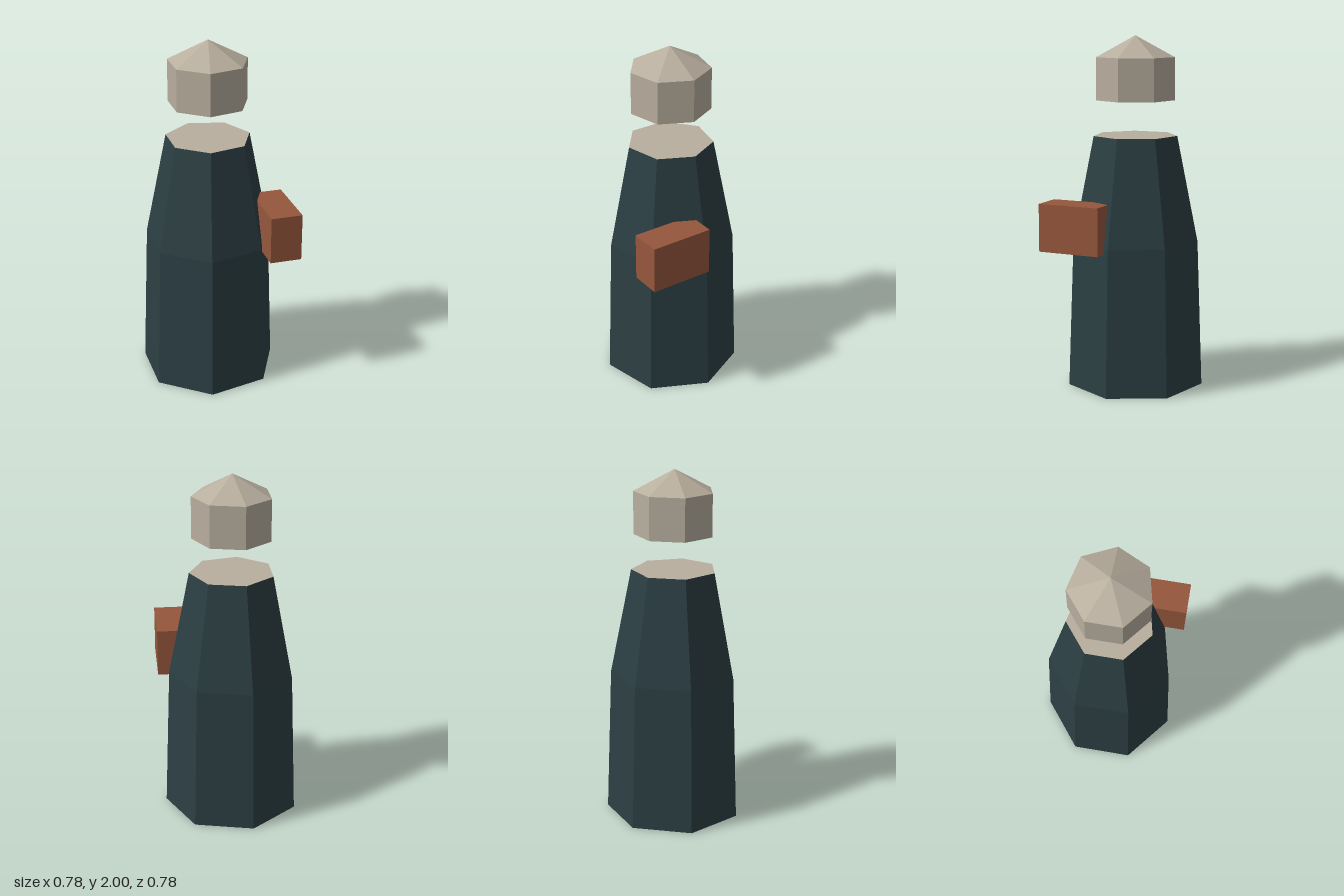
import * as THREE from 'three';

const SIDES = 7;
const material = (color, side = THREE.FrontSide) =>
  new THREE.MeshStandardMaterial({ color, side, flatShading: true });

// Seven-sided turned shape with one corner pointing to +x; profile is [radius, height] from the bottom up
function turned(name, profile, mat) {
  const points = profile.map(([r, y]) => new THREE.Vector2(r, y));
  const mesh = new THREE.Mesh(new THREE.LatheGeometry(points, SIDES, Math.PI / 2), mat);
  mesh.name = name;
  return mesh;
}

export function createModel() {
  const model = new THREE.Group();
  model.name = 'robedFigure';

  const figure = new THREE.Group();
  figure.name = 'figure';
  figure.position.set(-0.036, 0, -0.006);
  model.add(figure);

  const cloth = material(0x2c3f43);
  const pale = material(0xb8ae9e, THREE.DoubleSide);

  // Robe: closed underneath, tapering more above the waist
  figure.add(turned('robe', [[0, 0], [0.393, 0], [0.362, 0.84], [0.2415, 1.44]], cloth));

  // Pale flat neck on top of the robe
  figure.add(turned('neck', [[0.2415, 1.44], [0, 1.44]], pale));

  // Floating head: pointed on top, open underneath
  figure.add(turned('head', [[0.226, 1.64], [0.226, 1.88], [0, 2]], pale));

  // Satchel at the left side, partly sunk into the robe
  const satchel = new THREE.Mesh(new THREE.BoxGeometry(0.18, 0.27, 0.363), material(0x96573c));
  satchel.name = 'satchel';
  satchel.position.set(0.298, 0.945, 0.207);
  model.add(satchel);

  return model;
}
